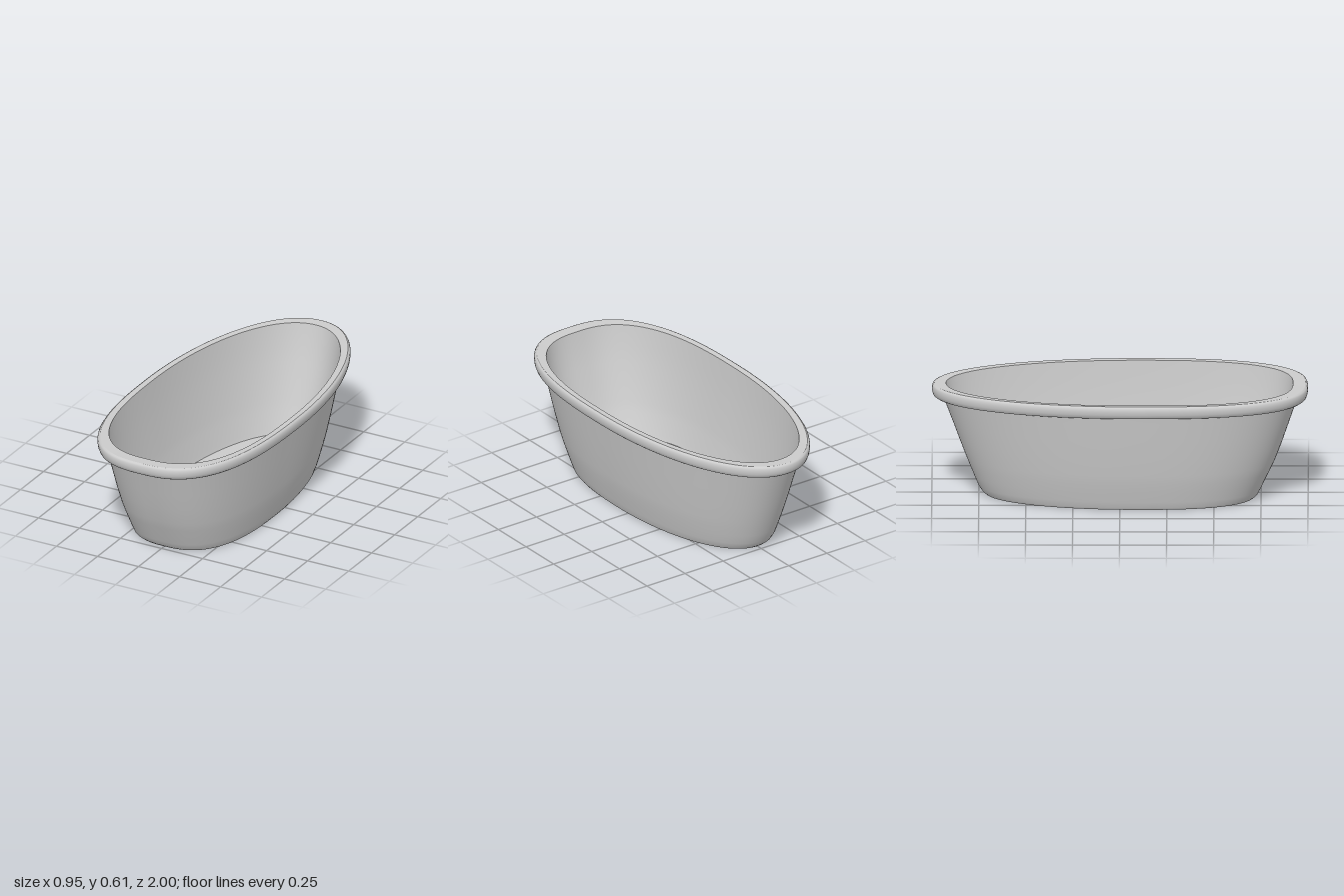
import * as THREE from 'three';

const SIDES = 128;
const WIDEST = 0.1; // z of the widest section

// Egg-shaped outline: slim rounded back, fuller front.
function outlinePoint(t, [halfWidth, back, front, y]) {
  const c = Math.cos(t), s = Math.sin(t);
  const n = s > 0 ? 2.65 : 2.06;
  const length = s > 0 ? front - WIDEST : back + WIDEST;
  const power = (v) => Math.sign(v) * Math.pow(Math.abs(v), 2 / n);
  return [halfWidth * power(c), y, WIDEST + length * power(s)];
}

// Skin over rings of [half width, back reach, front reach, height].
function loft(name, rings, material) {
  const position = [], index = [];
  rings.forEach((ring, i) => {
    for (let j = 0; j < SIDES; j++) {
      position.push(...outlinePoint((j / SIDES) * Math.PI * 2, ring));
      if (i === rings.length - 1) continue;
      const a = i * SIDES + j, b = i * SIDES + ((j + 1) % SIDES);
      index.push(a, a + SIDES, b, b, a + SIDES, b + SIDES);
    }
  });
  const geometry = new THREE.BufferGeometry();
  geometry.setAttribute('position', new THREE.Float32BufferAttribute(position, 3));
  geometry.setIndex(index);
  geometry.computeVertexNormals();
  const mesh = new THREE.Mesh(geometry, material);
  mesh.name = name;
  return mesh;
}

const centre = (y) => [0, -WIDEST, WIDEST, y];

export function createModel() {
  const material = new THREE.MeshStandardMaterial({ color: 0xcccccc, side: THREE.DoubleSide });
  const tub = new THREE.Group();
  tub.name = 'bathtub';

  const base = [0.333, 0.715, 0.72, 0];
  const wallTop = [0.437, 0.942, 0.945, 0.54];
  const rimFoot = [0.462, 0.982, 0.982, 0.54];
  const rimTop = [0.462, 0.985, 0.985, 0.607];
  const mouth = [0.43, 0.925, 0.92, 0.605];
  const floorEdge = [0.335, 0.735, 0.72, 0.03];

  // Flat underside and flared outer wall
  tub.add(loft('base', [centre(0), base], material));
  tub.add(loft('outerWall', [
    base,
    [0.341, 0.73, 0.735, 0.012],
    [0.35, 0.752, 0.752, 0.045],
    [0.364, 0.775, 0.778, 0.1],
    [0.376, 0.795, 0.802, 0.15],
    [0.386, 0.815, 0.825, 0.2],
    [0.402, 0.853, 0.863, 0.3],
    [0.417, 0.889, 0.897, 0.4],
    [0.431, 0.927, 0.931, 0.5],
    wallTop,
  ], material));

  // Overhanging rounded rim
  tub.add(loft('rimUnderside', [wallTop, rimFoot], material));
  tub.add(loft('rimEdge', [
    rimFoot,
    [0.47, 0.992, 0.992, 0.547],
    [0.475, 0.998, 0.998, 0.563],
    [0.477, 1, 1, 0.58],
    [0.475, 0.998, 0.998, 0.594],
    [0.47, 0.994, 0.994, 0.602],
    rimTop,
  ], material));
  tub.add(loft('rimTop', [rimTop, mouth], material));

  // Basin
  tub.add(loft('innerWall', [
    mouth,
    [0.419, 0.9, 0.9, 0.5],
    [0.406, 0.868, 0.87, 0.4],
    [0.391, 0.835, 0.838, 0.3],
    [0.374, 0.8, 0.802, 0.2],
    [0.364, 0.782, 0.78, 0.15],
    [0.352, 0.762, 0.755, 0.1],
    [0.342, 0.745, 0.733, 0.055],
    floorEdge,
  ], material));
  tub.add(loft('floor', [floorEdge, centre(0.03)], material));

  return tub;
}
